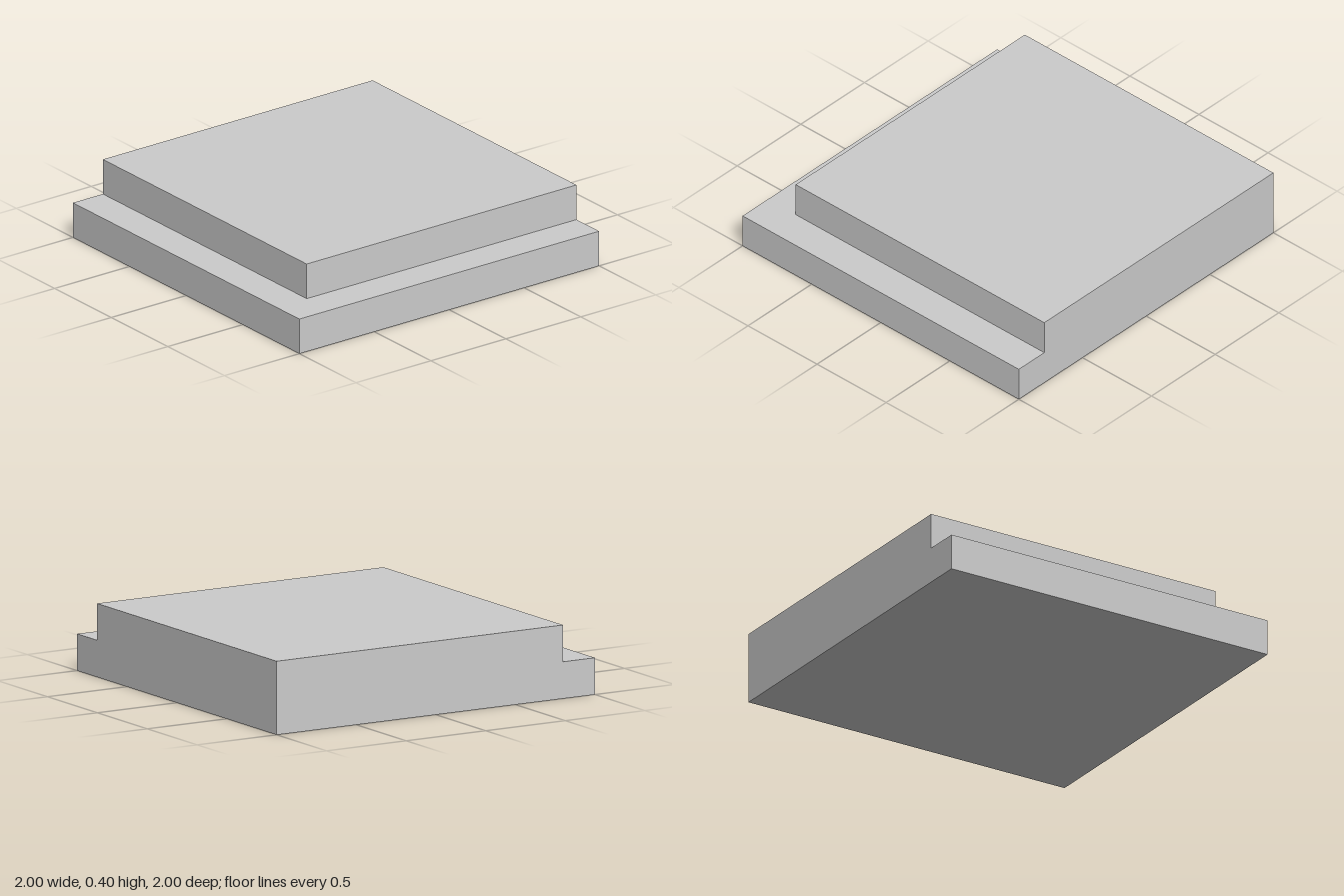
import * as THREE from 'three';

const material = new THREE.MeshStandardMaterial({ color: 0xcccccc });

// Box with one of its six sides left open (2 = top, 3 = bottom)
function openBox(w, h, d, side) {
  const geometry = new THREE.BoxGeometry(w, h, d);
  const index = Array.from(geometry.index.array);
  index.splice(side * 6, 6);
  geometry.setIndex(index);
  geometry.clearGroups();
  return geometry;
}

function addPart(group, name, geometry, x, y, z) {
  const mesh = new THREE.Mesh(geometry, material);
  mesh.name = name;
  mesh.position.set(x, y, z);
  group.add(mesh);
}

export function createModel() {
  const group = new THREE.Group();
  group.name = 'steppedCornerSlab';

  // Square lower slab
  addPart(group, 'lowerSlab', openBox(2, 0.2, 2, 2), 0, 0.1, 0);

  // Smaller upper slab, flush with the back and left sides
  addPart(group, 'upperSlab', openBox(1.8, 0.2, 1.8, 3), 0.1, 0.3, -0.1);

  // L-shaped ledge along the front and right sides
  const outline = [[-1, -1], [1, -1], [1, -0.8], [-0.8, -0.8], [-0.8, 1], [-1, 1]];
  const ledge = new THREE.ShapeGeometry(
    new THREE.Shape(outline.map(([x, y]) => new THREE.Vector2(x, y))));
  ledge.rotateX(-Math.PI / 2);
  addPart(group, 'ledge', ledge, 0, 0.2, 0);

  return group;
}
